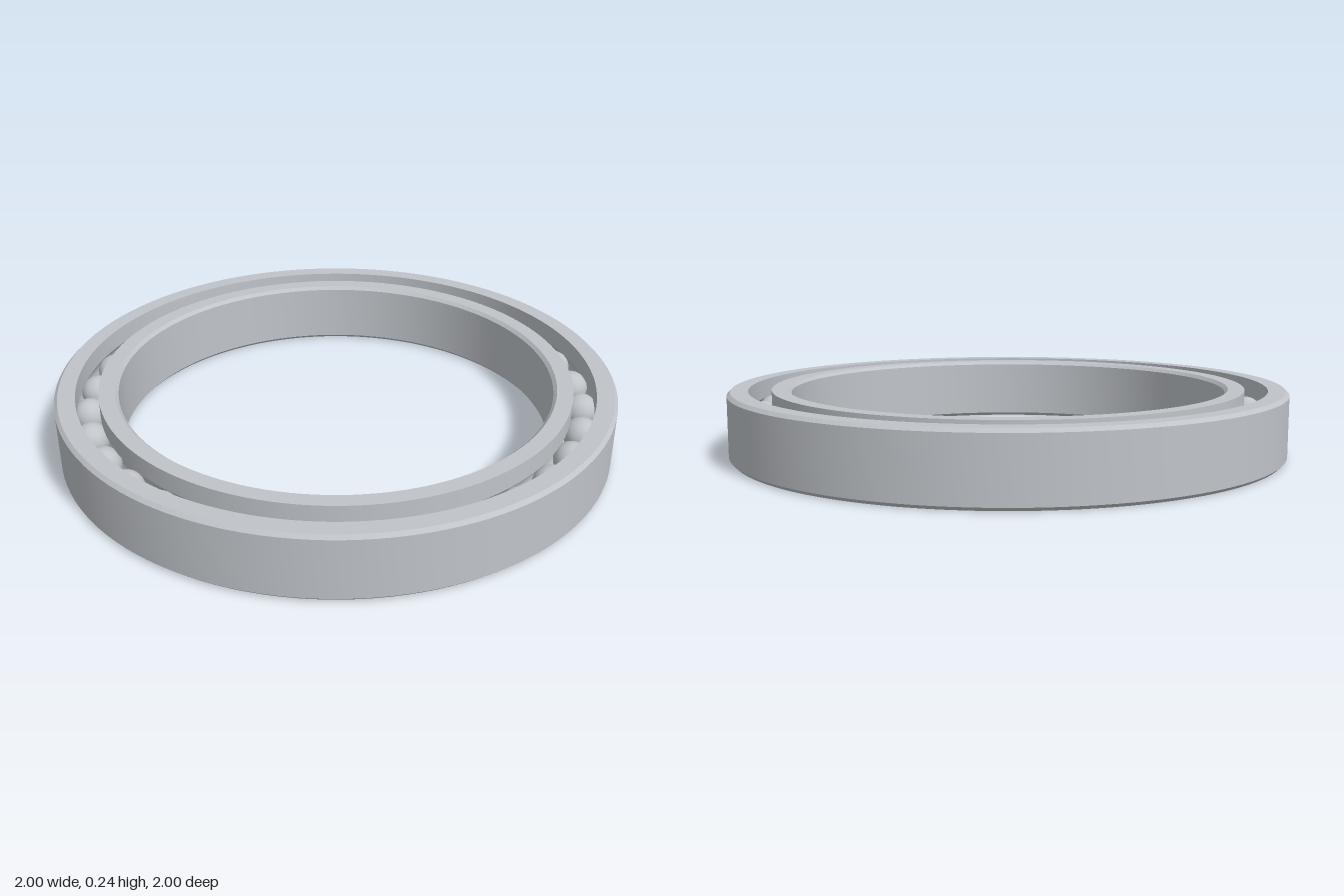
import * as THREE from 'three';
import { toCreasedNormals } from 'three/addons/utils/BufferGeometryUtils.js';

const HEIGHT = 0.236, MID = HEIGHT / 2, CHAMFER = 0.012;
const BORE = 0.778, INNER_LAND = 0.847, OUTER_LAND = 0.927, OUTER = 1;
const PITCH = (INNER_LAND + OUTER_LAND) / 2, BALL_R = 0.062, BALLS = 32;

// Half section of a ring: chamfered wall on one side, ball groove on the other.
// side = 1 for the outer ring, -1 for the inner ring.
function ringGeometry(wall, land, side) {
  const grooveR = BALL_R + 0.001;
  const half = Math.acos(Math.abs(land - PITCH) / grooveR);
  const pts = [
    [land, 0],
    [wall - side * CHAMFER, 0],
    [wall, CHAMFER],
    [wall, HEIGHT - CHAMFER],
    [wall - side * CHAMFER, HEIGHT],
    [land, HEIGHT],
  ];
  const steps = 14;
  for (let i = 0; i <= steps; i++) {
    const a = half - (2 * half * i) / steps;
    pts.push([PITCH + side * grooveR * Math.cos(a), MID + grooveR * Math.sin(a)]);
  }
  pts.push([land, 0]);
  // Keep the section running counter-clockwise so faces point outwards
  if (side < 0) pts.reverse();
  const profile = pts.map(([r, y]) => new THREE.Vector2(r, y));
  return toCreasedNormals(new THREE.LatheGeometry(profile, 128), 0.5);
}

export function createModel() {
  const group = new THREE.Group();
  group.name = 'ballBearing';
  const steel = new THREE.MeshStandardMaterial({ color: 0xc0c4c9 });
  steel.name = 'steel';

  // Races
  const outerRing = new THREE.Mesh(ringGeometry(OUTER, OUTER_LAND, 1), steel);
  outerRing.name = 'outerRing';
  const innerRing = new THREE.Mesh(ringGeometry(BORE, INNER_LAND, -1), steel);
  innerRing.name = 'innerRing';
  group.add(outerRing, innerRing);

  // Balls
  const balls = new THREE.Group();
  balls.name = 'balls';
  const ballGeometry = new THREE.SphereGeometry(BALL_R, 32, 20);
  for (let i = 0; i < BALLS; i++) {
    const a = (i / BALLS) * Math.PI * 2;
    const ball = new THREE.Mesh(ballGeometry, steel);
    ball.name = 'ball';
    ball.position.set(PITCH * Math.cos(a), MID, PITCH * Math.sin(a));
    balls.add(ball);
  }
  group.add(balls);
  return group;
}
